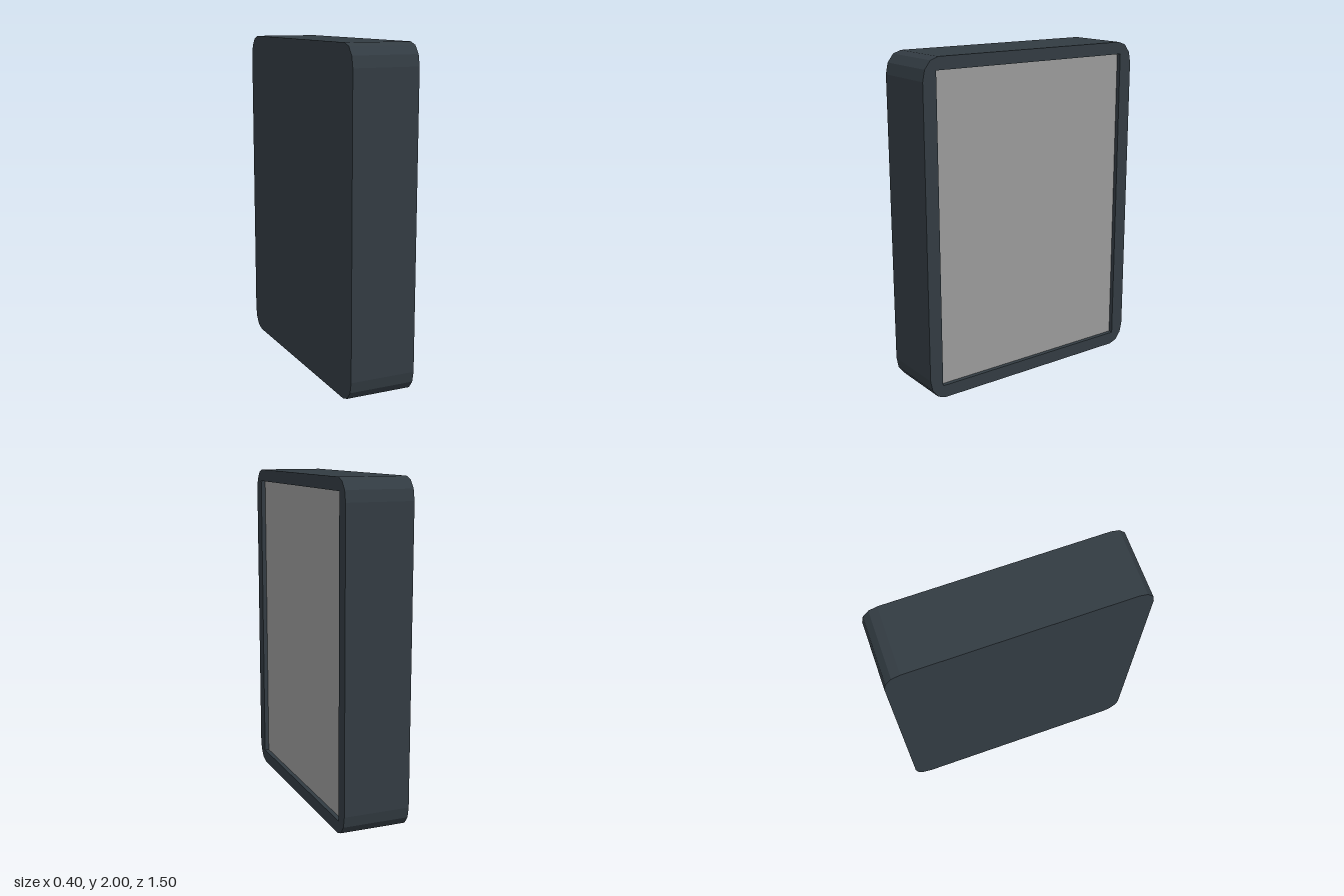
import * as THREE from 'three';

const HEIGHT = 2, HALF_WIDTH = 0.75, HALF_DEPTH = 0.2, RECESS = 0.03;
const OPENING = { halfWidth: 0.665, bottom: 0.077, top: 1.926 };

// Rounded outline with three facets per corner
function outline() {
  const rx = 0.1, ry = 0.13, steps = 3, points = [];
  const corners = [[1, HEIGHT - ry], [-1, HEIGHT - ry], [-1, ry], [1, ry]];
  corners.forEach(([side, cy], quarter) => {
    for (let i = 0; i <= steps; i++) {
      const a = (quarter + i / steps) * Math.PI / 2;
      points.push(new THREE.Vector2(side * (HALF_WIDTH - rx) + rx * Math.cos(a), cy + ry * Math.sin(a)));
    }
  });
  return new THREE.Shape(points);
}

// Extrude a shape along x, between two x positions
function slab(name, shape, from, to, material) {
  const geometry = new THREE.ExtrudeGeometry(shape, { depth: to - from, bevelEnabled: false });
  geometry.translate(0, 0, from).rotateY(Math.PI / 2);
  const mesh = new THREE.Mesh(geometry, material);
  mesh.name = name;
  return mesh;
}

export function createModel() {
  const frameMaterial = new THREE.MeshStandardMaterial({ color: 0x323b42 });
  frameMaterial.name = 'dark slate frame';
  const panelMaterial = new THREE.MeshStandardMaterial({ color: 0x999999 });
  panelMaterial.name = 'grey panel';

  const group = new THREE.Group();
  group.name = 'framedPanel';
  const floor = HALF_DEPTH - RECESS;

  // Solid casing behind the recess
  group.add(slab('casing', outline(), -HALF_DEPTH, floor, frameMaterial));

  // Raised rim around the opening
  const { halfWidth, bottom, top } = OPENING;
  const rim = outline();
  rim.holes.push(new THREE.Path([
    new THREE.Vector2(-halfWidth, bottom), new THREE.Vector2(-halfWidth, top),
    new THREE.Vector2(halfWidth, top), new THREE.Vector2(halfWidth, bottom),
  ]));
  group.add(slab('rim', rim, floor, HALF_DEPTH, frameMaterial));

  // Thin panel on the recess floor
  const panel = new THREE.Mesh(
    new THREE.BoxGeometry(0.004, top - bottom, 2 * halfWidth), panelMaterial);
  panel.name = 'panel';
  panel.position.set(floor + 0.001, (top + bottom) / 2, 0);
  group.add(panel);

  return group;
}
